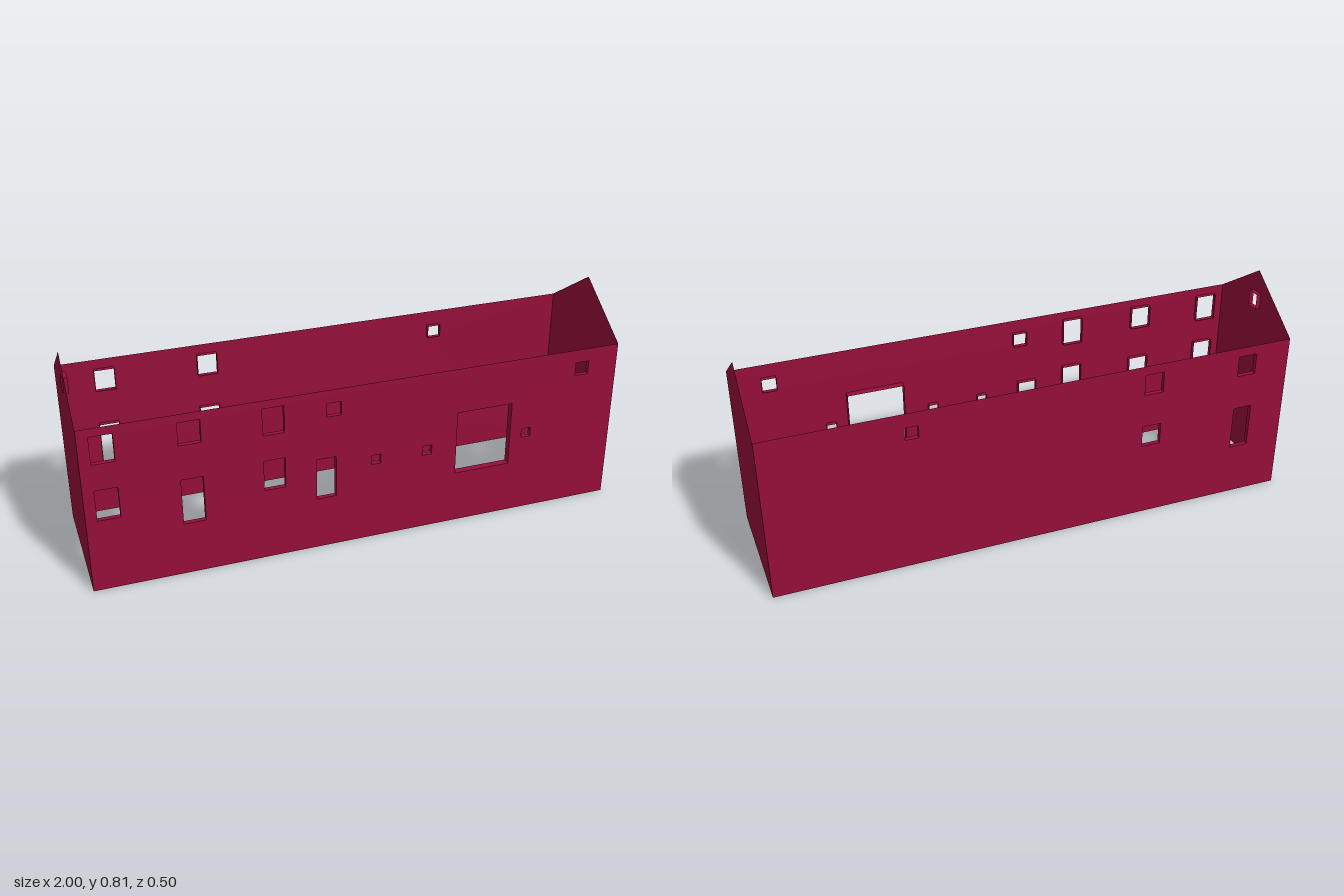
import * as THREE from 'three';

const HALF_L = 1, HALF_D = 0.252, EAVES = 0.64, RIDGE = 0.81;

const wallRed = new THREE.MeshStandardMaterial({ color: 0x960e3a, side: THREE.DoubleSide });
wallRed.name = 'wallRed';

// Openings are [x0, x1, y0, y1, reveal depth], seen from outside each wall
const frontOpenings = [
  // upper windows
  [-0.96, -0.88, 0.503, 0.608, 0.018],
  [-0.667, -0.588, 0.52, 0.608, 0.018],
  [-0.373, -0.295, 0.503, 0.608, 0.018],
  [-0.14, -0.087, 0.535, 0.588, 0.018],
  [0.83, 0.883, 0.535, 0.588, 0.018],
  // lower windows and doors
  [-0.96, -0.88, 0.283, 0.402, 0.018],
  [-0.667, -0.588, 0.207, 0.385, 0.018],
  [-0.373, -0.295, 0.283, 0.402, 0.018],
  [-0.18, -0.107, 0.207, 0.37, 0.018],
  [0.027, 0.064, 0.31, 0.347, 0.018],
  [0.225, 0.262, 0.31, 0.347, 0.018],
  [0.36, 0.578, 0.207, 0.462, 0.028], // wide gateway
  [0.625, 0.662, 0.31, 0.347, 0.018],
];
const backOpenings = [
  [0.79, 0.863, 0.52, 0.603, 0.018],
  [0.79, 0.863, 0.207, 0.38, 0.018],
  [0.408, 0.482, 0.52, 0.603, 0.018],
  [0.408, 0.482, 0.3, 0.385, 0.018],
  [-0.495, -0.445, 0.535, 0.583, 0.018],
];
const gableOpenings = [[-0.028, 0.023, 0.66, 0.72, 0.018]];

const sideOutline = [[-HALF_L, 0], [HALF_L, 0], [HALF_L, EAVES], [-HALF_L, EAVES]];
const gableOutline = [[-HALF_D, 0], [HALF_D, 0], [HALF_D, EAVES], [0, RIDGE], [-HALF_D, EAVES]];

const toPoints = (list) => list.map(([x, y]) => new THREE.Vector2(x, y));

// Four thin sheets lining one opening, running inwards from the wall face
function makeReveal([x0, x1, y0, y1, d]) {
  const reveal = new THREE.Group();
  reveal.name = 'windowReveal';
  const w = x1 - x0, h = y1 - y0, cx = (x0 + x1) / 2, cy = (y0 + y1) / 2;
  const sheet = (name, sx, sy, rx, ry, x, y) => {
    const mesh = new THREE.Mesh(new THREE.PlaneGeometry(sx, sy), wallRed);
    mesh.name = name;
    mesh.rotation.set(rx, ry, 0);
    mesh.position.set(x, y, -d / 2);
    reveal.add(mesh);
  };
  sheet('sill', w, d, -Math.PI / 2, 0, cx, y0);
  sheet('lintel', w, d, Math.PI / 2, 0, cx, y1);
  sheet('jambA', d, h, 0, Math.PI / 2, x0, cy);
  sheet('jambB', d, h, 0, -Math.PI / 2, x1, cy);
  return reveal;
}

// A flat wall facing its own +z, pierced by openings, turned and pushed outwards
function makeWall(name, outline, openings, angle, distance) {
  const wall = new THREE.Group();
  wall.name = name;
  const shape = new THREE.Shape(toPoints(outline));
  for (const [x0, x1, y0, y1] of openings) {
    shape.holes.push(new THREE.Path(toPoints([[x0, y0], [x0, y1], [x1, y1], [x1, y0]])));
  }
  const face = new THREE.Mesh(new THREE.ShapeGeometry(shape), wallRed);
  face.name = name + 'Face';
  wall.add(face, ...openings.map(makeReveal));
  wall.rotation.y = angle;
  wall.position.set(Math.sin(angle) * distance, 0, Math.cos(angle) * distance);
  return wall;
}

export function createModel() {
  const model = new THREE.Group();
  model.name = 'houseWalls';
  model.add(
    makeWall('frontWall', sideOutline, frontOpenings, 0, HALF_D),
    makeWall('backWall', sideOutline, backOpenings, Math.PI, HALF_D),
    makeWall('rightGable', gableOutline, gableOpenings, -Math.PI / 2, HALF_L),
    makeWall('leftGable', gableOutline, [], Math.PI / 2, HALF_L),
  );
  return model;
}
